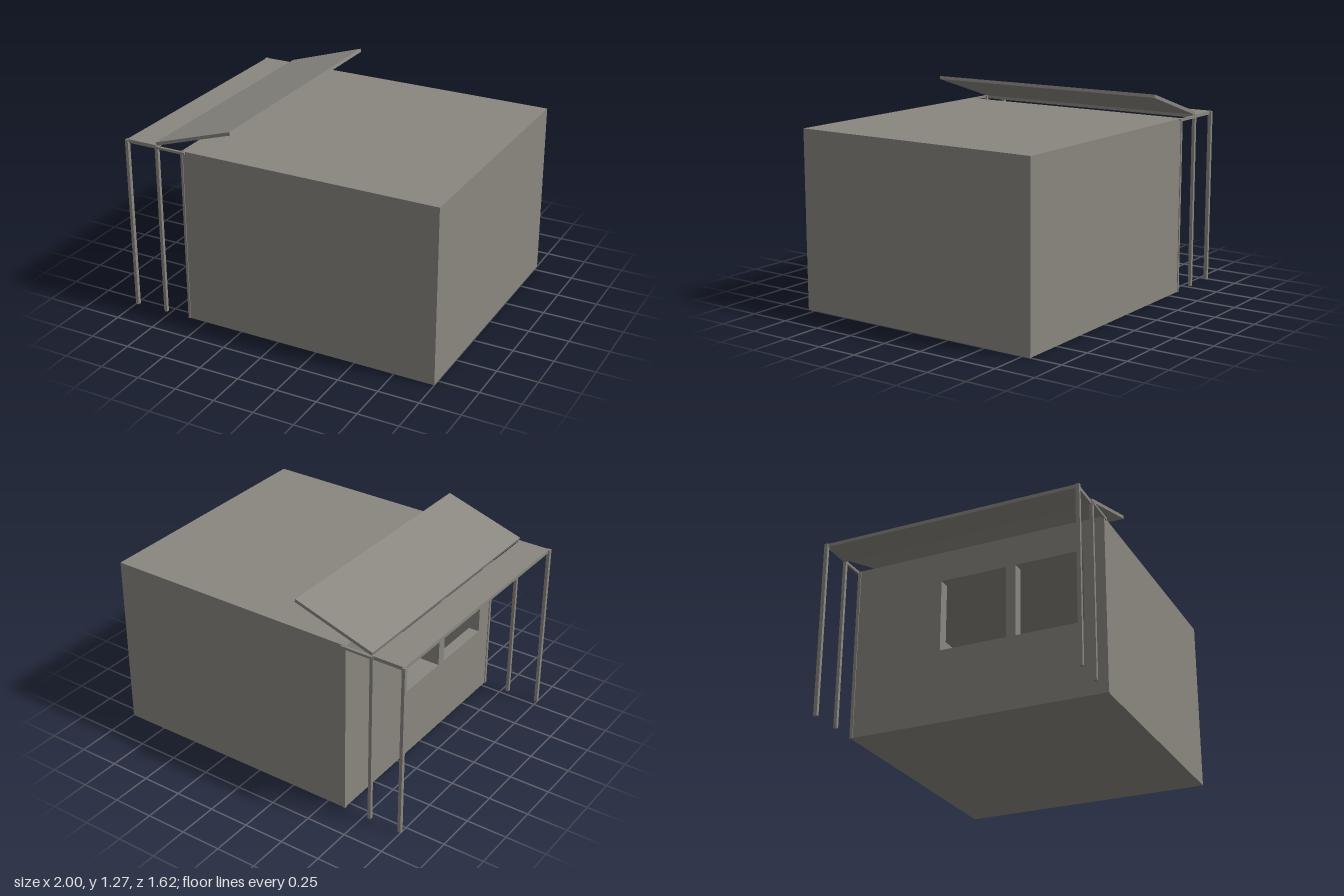
import * as THREE from 'three';

export function createModel() {
  const group = new THREE.Group();
  group.name = 'shelter';
  const grey = new THREE.MeshStandardMaterial({ color: 0x8a8780 });
  grey.name = 'warm grey';

  const add = (name, geometry) => {
    const mesh = new THREE.Mesh(geometry, grey);
    mesh.name = name;
    group.add(mesh);
    return mesh;
  };
  // box given by its limits on each axis
  const box = (name, x0, x1, y0, y1, z0, z1) => {
    const mesh = add(name, new THREE.BoxGeometry(x1 - x0, y1 - y0, z1 - z0));
    mesh.position.set((x0 + x1) / 2, (y0 + y1) / 2, (z0 + z1) / 2);
    return mesh;
  };

  const H = 1.09, D = 0.8, T = 0.07, SLAB = 0.05, X0 = -0.615;

  // hollow room
  box('floor', X0, 1, 0, SLAB, -D, D);
  box('roof', X0, 1, H - SLAB, H, -D, D);
  box('endWall', 1 - T, 1, SLAB, H - SLAB, -D, D);
  box('frontWall', X0 + T, 1 - T, SLAB, H - SLAB, D - T, D);
  box('backWall', X0 + T, 1 - T, SLAB, H - SLAB, -D, -D + T);

  // wall under the canopy with two window openings (shape x runs along z)
  const rect = (path, a0, a1, b0, b1) => path
    .moveTo(a0, b0).lineTo(a1, b0).lineTo(a1, b1).lineTo(a0, b1).closePath();
  const wall = rect(new THREE.Shape(), -D, D, SLAB, H - SLAB);
  for (const z of [-0.23, 0.25]) {
    wall.holes.push(rect(new THREE.Path(), z, z + 0.42, 0.45, 0.9));
  }
  const wallGeometry = new THREE.ExtrudeGeometry(wall, { depth: T, bevelEnabled: false });
  wallGeometry.rotateY(-Math.PI / 2);
  add('windowWall', wallGeometry).position.x = X0 + T;

  // posts and short rails on both sides
  for (const s of [-1, 1]) {
    const pair = (name, x0, x1, y0, y1, zIn, zOut) =>
      box(name, x0, x1, y0, y1, Math.min(s * zIn, s * zOut), Math.max(s * zIn, s * zOut));
    pair('outerPost', -1, -0.98, 0, H, 0.787, 0.81);
    pair('middlePost', -0.795, -0.775, 0, H, 0.785, 0.805);
    pair('cornerPost', -0.62, -0.605, 0, H - 0.002, 0.785, 0.805);
    pair('sideRail', -0.79, -0.59, 1.073, 1.088, 0.795, 0.81);
  }

  // flat canopy panel
  box('canopyPanel', -0.99, -0.79, 1.07, 1.092, -D, D);

  // raised flap hinged on the middle posts
  const a = new THREE.Vector2(-0.787, 1.1), b = new THREE.Vector2(-0.283, 1.26);
  const flap = add('raisedFlap', new THREE.BoxGeometry(a.distanceTo(b), 0.02, 2 * D));
  flap.position.set((a.x + b.x) / 2, (a.y + b.y) / 2, 0);
  flap.rotation.z = Math.atan2(b.y - a.y, b.x - a.x);

  return group;
}
